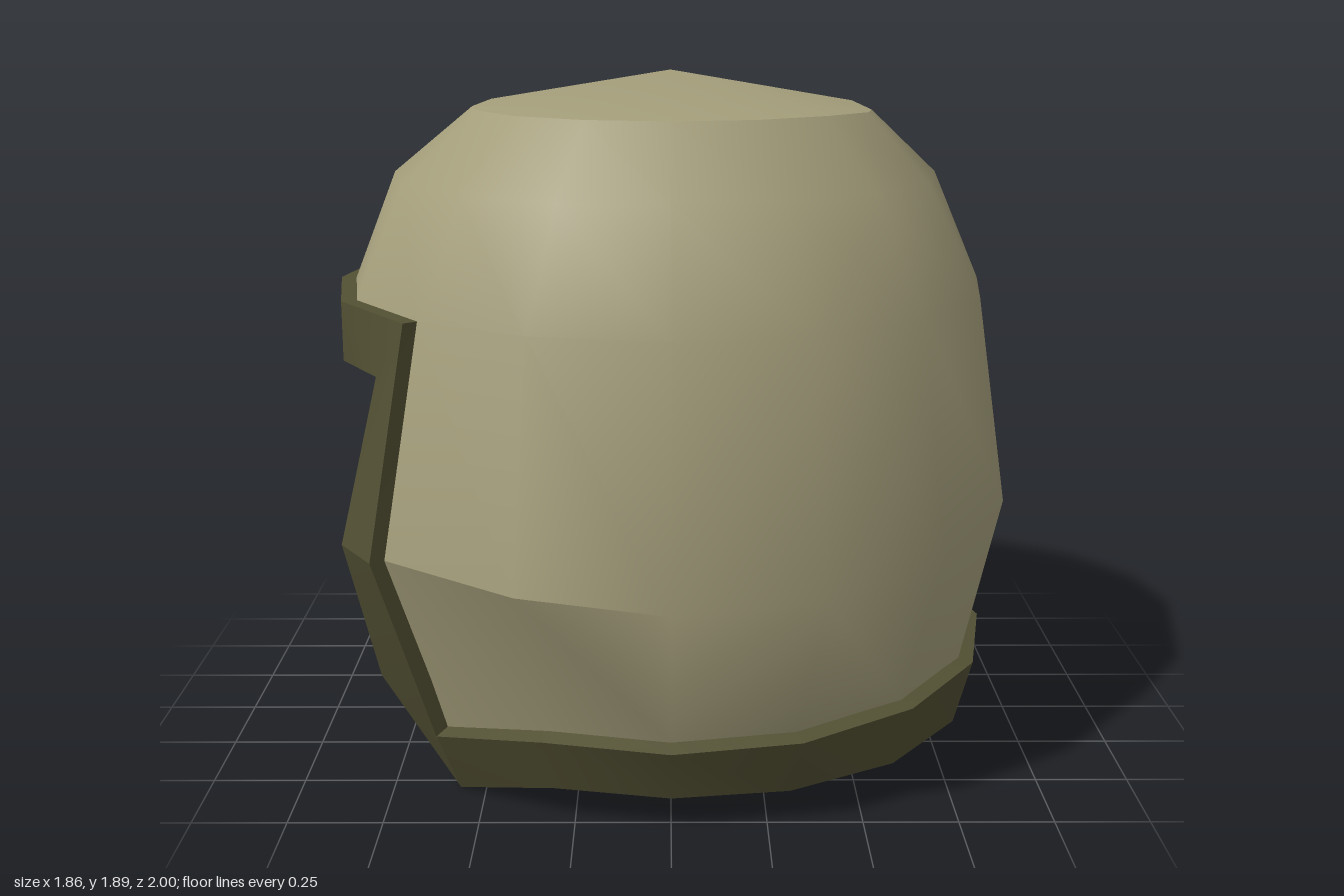
import * as THREE from 'three';
import { toCreasedNormals } from 'three/addons/utils/BufferGeometryUtils.js';

const STEP = Math.PI / 8; // sixteen columns around the helmet, column 0 at the back (+x)

const polar = (i, r, y) => new THREE.Vector3(r * Math.cos(i * STEP), y, r * Math.sin(i * STEP));

// [radius, height, optional turn] per column from the back (0) to the front (8), mirrored in z
const CROWN = [[0.56, 1.78], [0.57, 1.79], [0.57, 1.795], [0.57, 1.795], [0.57, 1.795], [0.57, 1.795], [0.57, 1.795], [0.56, 1.795], [0.55, 1.79]];
const UPPER = [0.74, 0.74, 0.735, 0.73, 0.73, 0.74, 0.75, 0.765, 0.77].map((r) => [r, 1.61]);
const BROW = [[0.87, 1.31], [0.89, 1.31], [0.9, 1.31], [0.91, 1.31], [0.91, 1.31], [0.91, 1.31], [0.91, 1.31, -0.05], [0.905, 1.31, -0.05], [0.89, 1.31]];
const MIDDLE = [[0.93, 0.82], [0.975, 0.76], [0.985, 0.7], [0.99, 0.67], [1, 0.66], [1, 0.68], [1.01, 0.7, 0.05]];
const LOWER = [[0.87, 0.3], [0.87, 0.29], [0.86, 0.28], [0.84, 0.265], [0.83, 0.26], [0.82, 0.26], [0.84, 0.2]];
// Lower edge of the trim under each LOWER point, and how far its face tilts down
const HEM = [[0.82, 0.105], [0.82, 0.106], [0.8, 0.105], [0.77, 0.103], [0.755, 0.105], [0.755, 0.105], [0.747, 0.016, 0.07]];
const TILT = [-0.1, -0.2, -0.3, -0.4, -0.42, -0.42, -0.42];

const at = (row, i) => {
  const [r, y, turn = 0] = row[Math.abs(i)];
  return polar(i + Math.sign(i) * turn, r, y);
};

// Smooth dome with the face opening left out of the two lower rows;
// an inset above zero gives the lining, moved inwards along its normals
function shellGeometry(inset) {
  const rows = [CROWN, UPPER, BROW, MIDDLE, LOWER];
  const pos = [], index = [], known = new Map();
  // Points with the same patch, row and column share one vertex and so one normal
  const vertex = (patch, row, i) => {
    const key = `${inset ? '' : patch}/${row}/${(i + 16) % 16}`;
    if (!known.has(key)) {
      known.set(key, pos.length / 3);
      pos.push(...at(rows[row], i).toArray());
    }
    return known.get(key);
  };
  pos.push(0, 1.89, 0);
  for (let i = -8; i < 8; i++) {
    index.push(0, vertex('cap', 0, i + 1), vertex('cap', 0, i));
    for (let j = 0; j < 4; j++) {
      if (j > 1 && (i < -6 || i >= 6)) continue;
      // The crease below the cheeks starts in front of the ears
      const top = (c) => vertex(j === 3 && Math.abs(c) > 4 ? 'jaw' : 'dome', j, c);
      const low = (c) => vertex('dome', j + 1, c);
      const [a, b, c, d] = [top(i), top(i + 1), low(i), low(i + 1)];
      index.push(a, b, c, b, d, c);
    }
  }
  const g = new THREE.BufferGeometry();
  const position = new THREE.Float32BufferAttribute(pos, 3);
  g.setAttribute('position', position);
  g.setIndex(index);
  g.computeVertexNormals();
  if (inset) {
    const p = new THREE.Vector3(), n = new THREE.Vector3();
    for (let v = 0; v < position.count; v++) {
      p.fromBufferAttribute(position, v).addScaledVector(n.fromBufferAttribute(g.attributes.normal, v), -inset);
      position.setXYZ(v, p.x, p.y, p.z);
    }
  }
  return g;
}

// Box-section band following the hem, cheeks and brow in one closed loop
function trimGeometry() {
  const V = (x, y, z) => new THREE.Vector3(x, y, z);
  // [outward direction, edge on the shell, far edge]
  const half = LOWER.map((_, i) => [polar(i, 1, TILT[i]), at(LOWER, i), at(HEM, i)]);
  half.push(
    [polar(6, 1, TILT[6]), at(LOWER, 6), V(-0.764, 0.296, 0.404)],
    [polar(6.4, 1, 0), at(MIDDLE, 6), V(-0.825, 0.7, 0.545)],
    [polar(6.2, 1, 0), at(BROW, 6), V(-0.72, 1.15, 0.545)],
    [polar(7, 1, 0), at(BROW, 7), polar(6.95, 0.905, 1.15)],
    [polar(8, 1, 0), at(BROW, 8), polar(8, 0.89, 1.15)],
  );
  const sections = half.map(([dir, edge, far]) => {
    const n = dir.normalize();
    const shift = (p, d) => p.clone().addScaledVector(n, d);
    return [shift(edge, 0.042), shift(far, 0.042), shift(far, -0.1), shift(edge, -0.1)];
  });
  const mirrored = sections.slice(1, -1).reverse().map((sec) => sec.map((p) => V(p.x, p.y, -p.z)));
  const loop = [...sections, ...mirrored];

  const pos = [];
  const tri = (a, b, c) => {
    if (a.equals(b) || b.equals(c) || a.equals(c)) return; // the jaw corner shares its shell edge
    for (const p of [a, b, c]) pos.push(p.x, p.y, p.z);
  };
  loop.forEach((a, i) => {
    const b = loop[(i + 1) % loop.length];
    for (let k = 0; k < 4; k++) {
      const m = (k + 1) % 4;
      tri(a[k], b[k], a[m]);
      tri(b[k], b[m], a[m]);
    }
  });
  const g = new THREE.BufferGeometry();
  g.setAttribute('position', new THREE.Float32BufferAttribute(pos, 3));
  return toCreasedNormals(g, 0.445);
}

export function createModel() {
  const khaki = new THREE.MeshStandardMaterial({ color: 0xa39d7a, side: THREE.DoubleSide });
  khaki.name = 'khaki';
  const darkOlive = new THREE.MeshStandardMaterial({ color: 0x525033 });
  darkOlive.name = 'darkOlive';

  const helmet = new THREE.Group();
  helmet.name = 'helmet';
  const add = (name, geometry, material) => {
    const mesh = new THREE.Mesh(geometry, material);
    mesh.name = name;
    helmet.add(mesh);
  };
  add('shell', shellGeometry(0), khaki);
  add('lining', shellGeometry(0.055), khaki);
  add('edgeTrim', trimGeometry(), darkOlive);
  return helmet;
}
